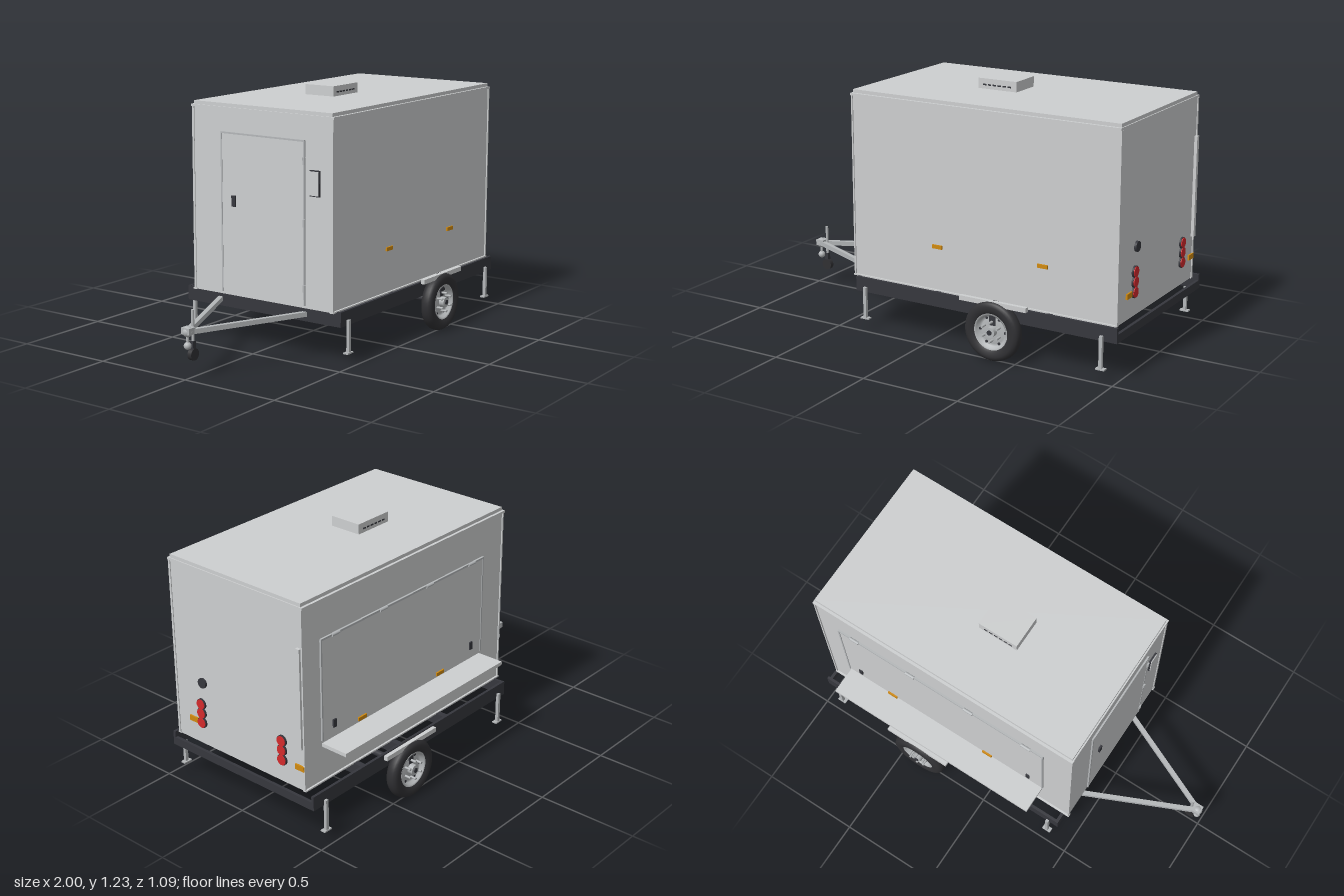
import * as THREE from 'three';

const mat = (name, color) => {
  const m = new THREE.MeshStandardMaterial({ color });
  m.name = name;
  return m;
};

export function createModel() {
  const panel = mat('panel grey', 0xcdcfd0);
  const steel = mat('galvanised steel', 0xb4b7b9);
  const dark = mat('chassis black', 0x36373d);
  const rubber = mat('tyre rubber', 0x303033);
  const red = mat('lamp red', 0xd42a2c);
  const amber = mat('marker amber', 0xd08a10);

  const model = new THREE.Group();
  model.name = 'concessionTrailer';
  const add = (name, geo, material, x = 0, y = 0, z = 0, parent = model) => {
    const m = new THREE.Mesh(geo, material);
    m.name = name;
    m.position.set(x, y, z);
    parent.add(m);
    return m;
  };
  // box given by its min and max on each axis
  const box = (name, material, x0, x1, y0, y1, z0, z1, parent) =>
    add(name, new THREE.BoxGeometry(x1 - x0, y1 - y0, z1 - z0), material,
      (x0 + x1) / 2, (y0 + y1) / 2, (z0 + z1) / 2, parent);
  const cyl = (name, material, r, h, axis, x, y, z, parent, seg = 24) => {
    const g = new THREE.CylinderGeometry(r, r, h, seg);
    if (axis === 'x') g.rotateZ(-Math.PI / 2);
    if (axis === 'z') g.rotateX(Math.PI / 2);
    return add(name, g, material, x, y, z, parent);
  };
  // square or round bar between two points
  const bar = (name, material, a, b, w) => {
    const p = new THREE.Vector3(...a), q = new THREE.Vector3(...b);
    const m = add(name, new THREE.BoxGeometry(w, w, p.distanceTo(q)), material);
    m.position.copy(p).add(q).multiplyScalar(0.5);
    m.lookAt(q);
    return m;
  };

  // Cabin, roof and edge trims
  const X0 = -0.448, X1 = 0.978, Z0 = -0.387, Z1 = 0.422;
  box('cabin', panel, X0, X1, 0.255, 1.16, Z0, Z1);
  box('roof', panel, X0 + 0.002, X1 - 0.002, 1.16, 1.18, Z0 + 0.003, Z1 - 0.003);
  for (const [s, z] of [[1, Z1], [-1, Z0]]) {
    const a = Math.min(z - s * 0.01, z + s * 0.01), b = a + 0.02;
    box('roofTrim', panel, X0 - 0.006, X1 + 0.003, 1.152, 1.163, a, b);
    box('sillTrim', panel, X0 - 0.006, X1 + 0.003, 0.253, 0.26, a, b);
    for (const x of [X0, X1])
      box('cornerTrim', panel, x - 0.004, x + 0.004, 0.26, 1.152, z - 0.006, z + 0.006);
  }
  for (const x of [X0, X1])
    box('endRoofTrim', panel, x - 0.005, x + 0.003, 1.152, 1.163, Z0, Z1);

  // Roof vent with slots
  box('roofVent', panel, 0.05, 0.258, 1.18, 1.23, -0.083, 0.083);
  for (const z of [-0.084, 0.084])
    for (let i = 0; i < 6; i++)
      box('ventSlot', dark, 0.075 + i * 0.027, 0.093 + i * 0.027, 1.197, 1.204, z - 0.001, z + 0.001);

  // Serving hatch, its hinges and latches, and the counter
  box('servingHatch', panel, -0.29, 0.86, 0.465, 0.965, Z0 - 0.006, Z0);
  box('hatchTopRail', steel, -0.295, 0.865, 0.962, 0.972, Z0 - 0.01, Z0);
  for (const x of [-0.292, 0.862]) box('hatchSideRail', steel, x - 0.004, x + 0.004, 0.465, 0.965, Z0 - 0.009, Z0);
  for (const x of [-0.2, 0.12, 0.45, 0.77]) cyl('hatchHinge', steel, 0.008, 0.05, 'x', x, 0.967, Z0 - 0.008);
  for (const x of [-0.21, 0.785]) box('hatchLatch', dark, x - 0.01, x + 0.01, 0.505, 0.545, Z0 - 0.013, Z0);
  box('counter', panel, -0.29, 0.86, 0.432, 0.45, -0.53, Z0);

  // Entry door with handle, hinges and side cabinet
  box('door', panel, X0 - 0.006, X0, 0.27, 1.04, -0.21, 0.265);
  for (const z of [-0.213, 0.268]) box('doorFrameSide', steel, X0 - 0.008, X0, 0.268, 1.045, z - 0.004, z + 0.004);
  box('doorFrameTop', steel, X0 - 0.008, X0, 1.038, 1.046, -0.215, 0.27);
  box('doorHandle', dark, X0 - 0.015, X0, 0.692, 0.745, -0.15, -0.128);
  for (const y of [0.35, 0.66, 0.95]) cyl('doorHinge', steel, 0.007, 0.035, 'y', X0 - 0.008, y, 0.268);
  box('wallFitting', dark, X0 - 0.009, X0, 0.79, 0.912, 0.3, 0.355);
  box('wallFittingCover', panel, X0 - 0.013, X0 - 0.009, 0.795, 0.907, 0.303, 0.352);

  // Rear wall strip, lamps and socket
  box('rearStrip', panel, X1, 0.993, 0.47, 0.968, -0.385, -0.363);
  for (const z of [0.258, -0.256])
    for (const y of [0.37, 0.42, 0.468]) {
      cyl('tailLampRim', dark, 0.0275, 0.01, 'x', X1 + 0.004, y, z);
      cyl('tailLamp', red, 0.0245, 0.014, 'x', X1 + 0.006, y, z);
    }
  cyl('powerSocket', dark, 0.025, 0.012, 'x', X1 + 0.005, 0.583, 0.243);
  for (const z of [0.313, -0.363]) box('rearMarker', amber, X1, X1 + 0.008, 0.356, 0.382, z - 0.027, z + 0.027);
  for (const x of [0.03, 0.598]) {
    box('sideMarker', amber, x - 0.027, x + 0.027, 0.464, 0.482, Z1, Z1 + 0.008);
    box('sideMarker', amber, x - 0.027, x + 0.027, 0.464, 0.482, Z0 - 0.014, Z0 - 0.006);
  }

  // Chassis frame
  for (const s of [-1, 1]) box('sideRail', dark, -0.425, 0.995, 0.185, 0.257, s * 0.447 - 0.007, s * 0.447 + 0.007);
  box('rearBeam', dark, 0.98, 0.995, 0.185, 0.226, -0.453, 0.453);
  box('frontBeam', dark, -0.425, -0.41, 0.185, 0.256, -0.453, 0.453);
  for (const x of [0.04, 0.385, 0.645]) box('crossBeam', dark, x - 0.015, x + 0.015, 0.2, 0.256, -0.445, 0.445);
  cyl('axle', dark, 0.015, 0.96, 'z', 0.385, 0.15, 0);

  // Wheels, with mudguard bars above them
  const tyreProfile = [[0.086, -0.02], [0.1, -0.03], [0.122, -0.032], [0.137, -0.026], [0.144, -0.014],
    [0.146, 0], [0.144, 0.014], [0.137, 0.026], [0.122, 0.032], [0.1, 0.03], [0.086, 0.02]];
  const rimProfile = [[0.001, 0.008], [0.05, 0.008], [0.062, 0.002], [0.075, 0.004], [0.08, 0.022], [0.089, 0.024]];
  const lathe = (pts) => new THREE.LatheGeometry(pts.map((p) => new THREE.Vector2(...p)), 48).rotateX(Math.PI / 2);
  const twoSided = mat('rim steel', 0xb4b7b9);
  twoSided.side = THREE.DoubleSide;
  for (const s of [-1, 1]) {
    const wheel = new THREE.Group();
    wheel.name = 'wheel';
    wheel.position.set(0.385, 0.147, s * 0.503);
    if (s < 0) wheel.rotation.y = Math.PI;
    model.add(wheel);
    add('tyre', lathe(tyreProfile), rubber, 0, 0, 0, wheel);
    add('rim', lathe(rimProfile), twoSided, 0, 0, 0, wheel);
    cyl('hub', steel, 0.025, 0.03, 'z', 0, 0, 0.02, wheel);
    cyl('hubCap', dark, 0.012, 0.012, 'z', 0, 0, 0.034, wheel);
    for (let i = 0; i < 6; i++) {
      const a = (i / 6) * Math.PI * 2 + Math.PI / 6;
      cyl('wheelBolt', steel, 0.006, 0.034, 'z', Math.cos(a) * 0.046, Math.sin(a) * 0.046, 0.023, wheel, 8);
      const b = a + Math.PI / 6;
      cyl('rimHole', dark, 0.007, 0.004, 'z', Math.cos(b) * 0.067, Math.sin(b) * 0.067, 0.003, wheel, 12);
    }
    box('rimSlot', dark, -0.016, 0.016, 0.028, 0.078, 0.006, 0.011, wheel);
    box('mudguardBar', panel, 0.208, 0.565, 0.27, 0.293, s * 0.508 - 0.01, s * 0.508 + 0.01);
  }

  // Corner stabiliser legs
  for (const x of [-0.368, 0.92])
    for (const s of [-1, 1]) {
      box('legTube', steel, x - 0.008, x + 0.008, 0.055, 0.212, s * 0.46 - 0.008, s * 0.46 + 0.008);
      box('legFoot', steel, x - 0.023, x + 0.023, 0.05, 0.057, s * 0.458 - 0.013, s * 0.458 + 0.013);
    }

  // Drawbar, coupler and jockey wheel
  for (const s of [-1, 1]) bar('drawbar', steel, [-0.955, 0.22, s * 0.012], [-0.415, 0.22, s * 0.255], 0.023);
  box('couplerPlate', steel, -0.995, -0.95, 0.21, 0.24, -0.024, 0.024);
  add('couplerHead', new THREE.SphereGeometry(0.025, 24, 16), steel, -0.975, 0.22, 0);
  add('couplerKnob', new THREE.SphereGeometry(0.018, 20, 14), steel, -0.978, 0.155, 0);
  cyl('couplerPin', steel, 0.006, 0.05, 'y', -0.978, 0.185, 0);
  cyl('jockeyStem', steel, 0.007, 0.2, 'y', -0.94, 0.215, 0, model, 16);
  box('jockeyFork', dark, -0.95, -0.93, 0.105, 0.17, -0.009, 0.009);
  cyl('jockeyWheel', rubber, 0.028, 0.022, 'z', -0.94, 0.107, 0);

  return model;
}
